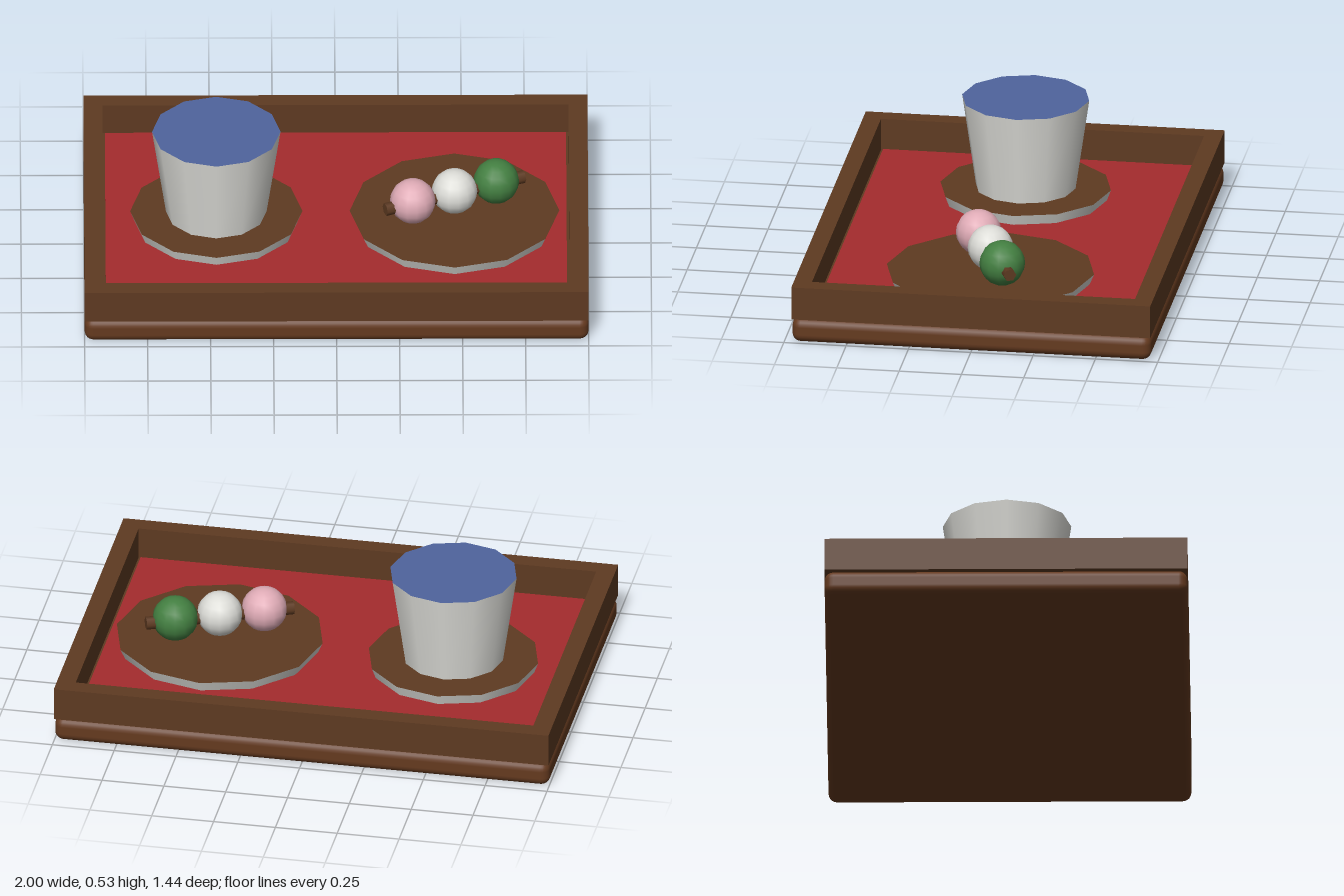
import * as THREE from 'three';
import { RoundedBoxGeometry } from 'three/addons/geometries/RoundedBoxGeometry.js';

const paint = (name, color) => {
  const m = new THREE.MeshStandardMaterial({ color });
  m.name = name;
  return m;
};

export function createModel() {
  const wood = paint('dark wood', 0x5e3a21);
  const baseWood = paint('base wood', 0x653a1f);
  const red = paint('red mat', 0xa52b2d);
  const china = paint('white china', 0xdcdcd7);
  const blue = paint('blue drink', 0x4f649d);
  const pink = paint('pink dumpling', 0xdfabb6);
  const green = paint('green dumpling', 0x437f41);

  const model = new THREE.Group();
  model.name = 'servingTray';
  const add = (name, geometry, material, x, y, z, parent = model) => {
    const mesh = new THREE.Mesh(geometry, material);
    mesh.name = name;
    mesh.position.set(x, y, z);
    parent.add(mesh);
    return mesh;
  };

  // Tray: rounded base, square rim and inset mat
  add('trayBase', new RoundedBoxGeometry(2, 0.1, 1.44, 3, 0.035), baseWood, 0, 0.05, 0);

  const rect = (target, w, d) => {
    target.moveTo(-w, -d);
    target.lineTo(w, -d);
    target.lineTo(w, d);
    target.lineTo(-w, d);
    target.closePath();
    return target;
  };
  const outline = rect(new THREE.Shape(), 1, 0.72);
  outline.holes.push(rect(new THREE.Path(), 0.925, 0.648));
  const rim = new THREE.ExtrudeGeometry(outline, { depth: 0.135, bevelEnabled: false });
  rim.rotateX(-Math.PI / 2);
  add('trayRim', rim, wood, 0, 0.1, 0);
  add('trayFloor', new THREE.BoxGeometry(1.86, 0.01, 1.31), wood, 0, 0.099, 0);
  add('mat', new THREE.BoxGeometry(1.83, 0.014, 1.276), red, 0, 0.105, 0);

  // Round twelve-sided dishes: side, coloured top, china underside
  const dish = (name, top, bottom, y0, y1, x, topMaterial) =>
    add(name, new THREE.CylinderGeometry(top, bottom, y1 - y0, 12),
      [china, topMaterial, china], x, (y0 + y1) / 2, 0);
  dish('saucer', 0.342, 0.325, 0.11, 0.155, -0.475, wood);
  dish('plate', 0.416, 0.396, 0.11, 0.155, 0.47, wood);
  dish('cup', 0.255, 0.2, 0.155, 0.53, -0.475, blue);

  // Skewer lying across the plate with three dumplings
  const skewer = new THREE.Group();
  skewer.name = 'skewer';
  skewer.position.set(0.47, 0, 0);
  skewer.rotation.y = THREE.MathUtils.degToRad(23.5);
  model.add(skewer);
  const stick = add('stick', new THREE.CylinderGeometry(0.026, 0.026, 0.6, 6), wood, 0, 0.238, 0, skewer);
  stick.rotation.z = Math.PI / 2;
  [['pinkDumpling', pink], ['whiteDumpling', china], ['greenDumpling', green]].forEach(([name, material], i) =>
    add(name, new THREE.SphereGeometry(0.091, 14, 10), material, (i - 1) * 0.181, 0.248, 0, skewer));

  return model;
}
